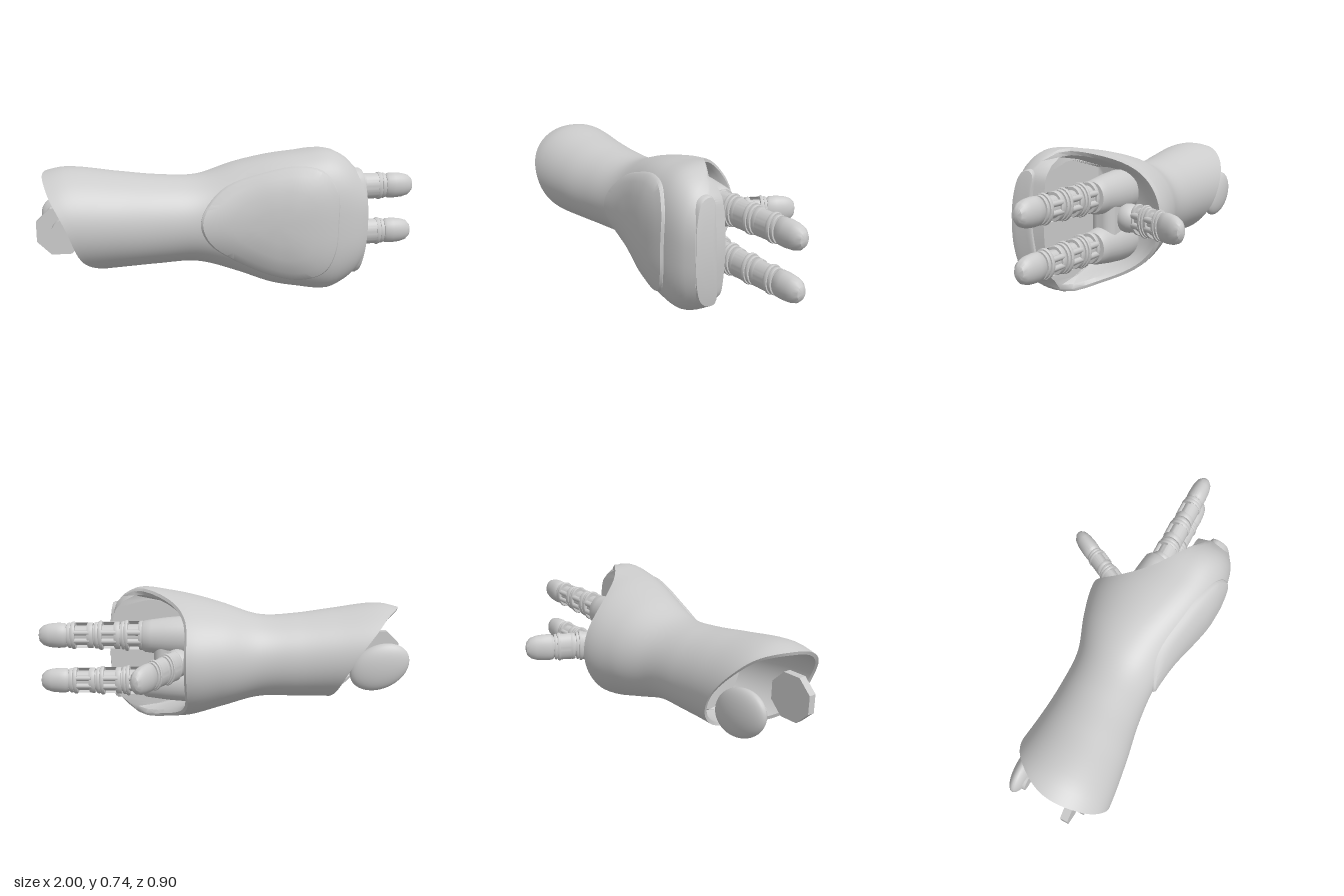
import * as THREE from 'three';
import { toCreasedNormals } from 'three/addons/utils/BufferGeometryUtils.js';
import { RoundedBoxGeometry } from 'three/addons/geometries/RoundedBoxGeometry.js';

const V = (x, y, z) => new THREE.Vector3(x, y, z);
const grey = new THREE.MeshStandardMaterial({ color: 0xcccccc, side: THREE.DoubleSide });

function add(parent, name, geometry, x = 0, y = 0, z = 0) {
  const mesh = new THREE.Mesh(geometry, grey);
  mesh.name = name;
  mesh.position.set(x, y, z);
  parent.add(mesh);
  return mesh;
}

// Smooth scalar curve through [position, value] pairs
function curve(pts) {
  const slope = (i) => {
    const a = pts[Math.max(i - 1, 0)], b = pts[Math.min(i + 1, pts.length - 1)];
    return (b[1] - a[1]) / (b[0] - a[0]);
  };
  return (x) => {
    let i = 0;
    while (i < pts.length - 2 && x > pts[i + 1][0]) i++;
    const [x0, a] = pts[i], [x1, b] = pts[i + 1], d = x1 - x0;
    const t = THREE.MathUtils.clamp((x - x0) / d, 0, 1), t2 = t * t, t3 = t2 * t;
    return a * (2 * t3 - 3 * t2 + 1) + b * (3 * t2 - 2 * t3)
      + d * (slope(i) * (t3 - 2 * t2 + t) + slope(i + 1) * (t3 - t2));
  };
}

// Surface through closed rings of equal point count
function skin(rows, crease = 0.7) {
  const n = rows[0].length, index = [];
  for (let i = 0; i < rows.length - 1; i++) for (let j = 0; j < n; j++) {
    const k = (j + 1) % n, a = i * n + j, b = i * n + k;
    index.push(a, b, a + n, b, b + n, a + n);
  }
  const g = new THREE.BufferGeometry().setFromPoints(rows.flat());
  g.setIndex(index);
  return toCreasedNormals(g, crease);
}

// Sleeve stations: x, bottom y, top y, back z, front z
const stations = [
  [-1, .14, .63, -.16, .41], [-.85, .13, .66, -.14, .42], [-.6, .14, .63, -.11, .39],
  [-.4, .145, .605, -.1, .355], [-.2, .145, .6, -.11, .34], [0, .09, .66, -.18, .36],
  [.17, .035, .7, -.22, .4], [.3, .015, .72, -.2, .43], [.45, 0, .735, -.18, .44],
  [.54, .04, .7, -.15, .43], [.6, .09, .64, -.1, .41], [.66, .16, .58, -.05, .37],
];
const [yLow, yHigh, zBack, zFront] = [1, 2, 3, 4].map((c) => curve(stations.map((s) => [s[0], s[c]])));

function section(x) {
  const h = THREE.MathUtils.smoothstep(x, -.3, .2), b = zBack(x), f = zFront(x);
  return { cy: (yLow(x) + yHigh(x)) / 2, ry: (yHigh(x) - yLow(x)) / 2,
    zm: b + (f - b) * (.5 + .12 * h), b, f, e: 1 - .28 * h };
}
// Point on the sleeve; angle 0 is the top, a quarter turn is the front
function sleevePoint(x, a) {
  const s = section(x), c = Math.cos(a), d = Math.sin(a), e = d > 0 ? s.e : 1;
  return V(x, s.cy + s.ry * Math.sign(c) * Math.abs(c) ** e,
    d > 0 ? s.zm + (s.f - s.zm) * d ** e : s.zm + (s.zm - s.b) * d);
}
function sleeveFront(x, y) {
  const s = section(x), t = Math.min(Math.abs(y - s.cy) / s.ry, 1);
  return s.zm + (s.f - s.zm) * Math.sqrt(1 - t ** (2 / s.e)) ** s.e;
}

const elbowCut = curve([[-45, -.85], [0, -.96], [45, -.94], [90, -.85], [135, -.77], [180, -.6],
  [225, -.62], [270, -.7], [315, -.85], [360, -.96], [405, -.94]]);
const handCut = curve([[-.24, .18], [-.1, .2], [0, .26], [.1, .37], [.2, .53], [.27, .62], [.5, .625]]);

// Sleeve: elbow lining, outer skin, hand lip and palm hollow in one surface
function sleeveGeometry() {
  const N = 72, M = 44, rows = [];
  const ring = (f) => rows.push(Array.from({ length: N }, (_, j) => {
    const a = j / N * Math.PI * 2, start = elbowCut(a * 180 / Math.PI);
    const p = sleevePoint(.3, a);
    return f(a, start, handCut(p.z) - .25 * (p.y - .37) ** 2);
  }));
  const inset = (p, k) => {
    const s = section(p.x);
    return V(p.x, s.cy + (p.y - s.cy) * k, s.zm + (p.z - s.zm) * k);
  };
  ring(() => V(-.45, .375, .13));
  ring((a) => inset(sleevePoint(-.45, a), .88));
  ring((a, s) => inset(sleevePoint(s + .15, a), .91));
  ring((a, s) => inset(sleevePoint(s + .005, a), .93));
  for (let i = 0; i <= M; i++) ring((a, s, e) => sleevePoint(s + (e - s) * i / M, a));
  const hollow = (a, x, k) => {
    const p = inset(sleevePoint(x, a), k);
    p.z = Math.min(p.z, .2);
    return p;
  };
  ring((a, s, e) => inset(sleevePoint(e, a), .96).add(V(.012, 0, 0)));
  ring((a, s, e) => hollow(a, e, .9));
  ring((a, s, e) => hollow(a, e * .6 + .05, .84));
  ring((a) => hollow(a, .14, .74));
  ring(() => V(.1, .37, .06));
  return skin(rows);
}

// Raised panel: outline rings shrunk to a centre, placed by a surface rule
function panelGeometry(outline, place) {
  const ctr = outline.reduce((s, p) => s.add(p), V(0, 0, 0)).divideScalar(outline.length);
  return skin([[1, -.03], [1, .004], [.975, .014], [.85, .016], [.6, .017], [.3, .017], [0, .017]]
    .map(([k, lift]) => outline.map((p) => place(ctr.clone().lerp(p, k), lift))), .6);
}
const smoothLoop = (pts, n) =>
  new THREE.CatmullRomCurve3(pts.map(([x, y]) => V(x, y, 0)), true).getPoints(n).slice(0, n);

// Turned oval part along x; profile is [x, radius] pairs
function turned(profile, ry, rz, start = 0, sweep = Math.PI * 2) {
  const g = new THREE.LatheGeometry(profile.map(([x, r]) => new THREE.Vector2(r, x)), 28, start, sweep);
  g.rotateZ(-Math.PI / 2).scale(1, ry, rz);
  return toCreasedNormals(g, .6);
}

// Jointed finger pointing along +x with its back toward +z
function finger(name, lengths, ry, rz) {
  const group = new THREE.Group();
  group.name = name;
  let x = 0;
  lengths.forEach((L, i) => {
    const k = 1 - .06 * i, a = ry * k, b = rz * k;
    if (i === lengths.length - 1) {
      add(group, 'fingertip', turned([[0, 0], [0, .88], [.012, 1], [L * .3, 1.02], [L * .6, .96],
        [L * .82, .8], [L * .95, .5], [L, 0]], a, b), x);
      return;
    }
    add(group, 'fingerCore', turned([[-.02, 0], [-.02, .74], [L + .02, .74], [L + .02, 0]], a, b), x);
    for (const [s, e, r] of [[.03, .24, .97], [.68, .82, 1.03], [.84, .97, .95]]) {
      add(group, 'fingerCollar', turned([[s * L, .6], [s * L, r - .04], [s * L + .006, r],
        [e * L - .006, r], [e * L, r - .04], [e * L, .6]], a, b), x);
    }
    add(group, 'fingerBackPlate', turned([[.2 * L, .96], [.7 * L, .96]], a, b, -Math.PI / 2, Math.PI), x);
    for (const side of [-1, 1]) {
      const rod = new THREE.CylinderGeometry(a * .2, a * .2, L * .6, 10).rotateZ(Math.PI / 2);
      add(group, 'tendonRod', rod, x + L * .45, side * a * .3, -b * .7);
    }
    x += L;
  });
  return group;
}

export function createModel() {
  const model = new THREE.Group();
  model.name = 'mechanicalForearm';
  add(model, 'sleeve', sleeveGeometry());

  // Panel on the back of the hand
  const handOutline = smoothLoop([[.47, .38], [.465, .55], [.4, .645], [.28, .667], [.1, .63], [-.08, .56],
    [-.18, .46], [-.205, .38], [-.16, .28], [-.02, .18], [.16, .105], [.3, .085], [.41, .13], [.46, .24]].reverse(), 64)
    .reverse();
  add(model, 'handPanel', panelGeometry(handOutline, (p, lift) => V(p.x, p.y, sleeveFront(p.x, p.y) + lift)));

  // Slot panel over the knuckles
  const slotOutline = smoothLoop([[.64, .29], [.62, .34], [.52, .375], [.37, .385], [.22, .375], [.12, .34],
    [.085, .29], [.09, .25], [.2, .25], [.37, .265], [.52, .265], [.62, .265]].reverse(), 48).reverse();
  add(model, 'knucklePanel', panelGeometry(slotOutline,
    (p, lift) => V(.628 - .3 * (p.x - .37) ** 2 + lift, p.x, p.y)));

  // Palm with two finger sockets
  add(model, 'palmCore', new RoundedBoxGeometry(.28, .3, .13, 4, .05), .23, .37, .045);
  for (const y of [.24, .495]) {
    add(model, 'fingerSocket', turned([[.1, 0], [.1, 1.1], [.2, 1.12], [.3, 1.03], [.38, .92],
      [.42, .86], [.43, .78], [.43, 0]], .1, .085), 0, y, .05);
    const f = finger('finger', [.13, .145, .15, .155], .083, .062);
    f.position.set(.42, y, .065);
    model.add(f);
  }

  // Thumb, turned so its inner side faces the fingers
  add(model, 'thumbBall', new THREE.SphereGeometry(.075, 24, 16), .24, .37, -.05);
  const thumb = finger('thumb', [.115, .12, .155], .083, .052);
  thumb.rotation.set(Math.PI, 62 * Math.PI / 180, 0, 'YXZ');
  thumb.position.set(.245, .37, -.1);
  model.add(thumb);

  // Elbow joint: domed lug at the back, octagonal disc at the front
  const lug = add(model, 'elbowLug', new THREE.SphereGeometry(1, 32, 20), -.84, .35, -.05);
  lug.scale.set(.165, .12, .05);
  lug.rotation.z = -.45;
  add(model, 'elbowPin', new THREE.CylinderGeometry(.05, .05, .06, 16).rotateX(Math.PI / 2), -.91, .37, -.03);
  const disc = new THREE.CylinderGeometry(.125, .125, .04, 8).rotateX(Math.PI / 2).rotateZ(Math.PI / 8);
  add(model, 'elbowDisc', toCreasedNormals(disc, .4), -.885, .365, .25);
  add(model, 'elbowDiscHub', new THREE.CylinderGeometry(.07, .07, .06, 16).rotateX(Math.PI / 2), -.86, .365, .29);
  return model;
}
